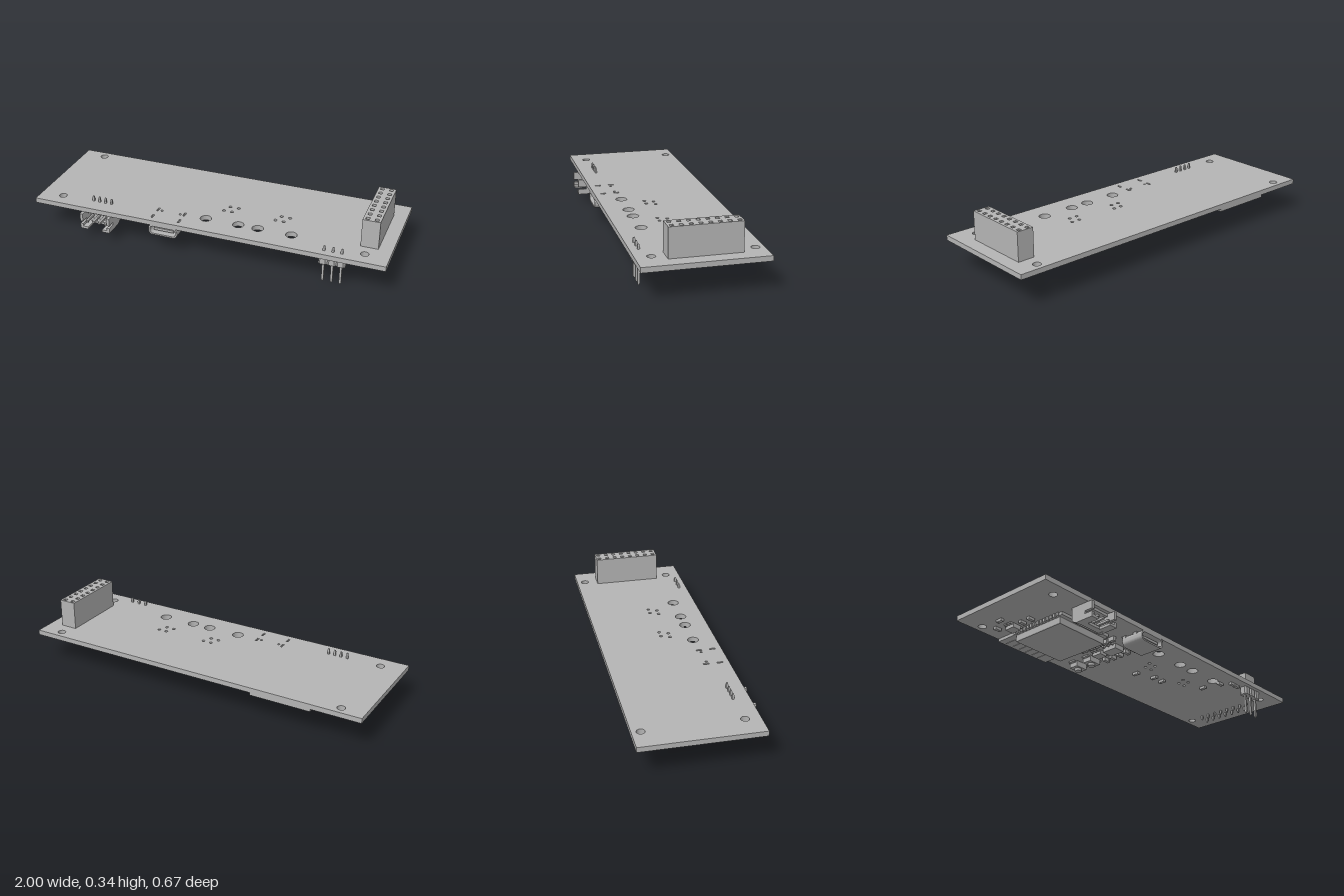
import * as THREE from 'three';

const grey = new THREE.MeshStandardMaterial({ color: 0xb4b4b4 });
grey.name = 'plain grey';

const BOARD_TOP = 0.188, BOARD_BOTTOM = 0.16;

function add(parent, name, geometry, x = 0, y = 0, z = 0) {
  const mesh = new THREE.Mesh(geometry, grey);
  mesh.name = name;
  mesh.position.set(x, y, z);
  parent.add(mesh);
  return mesh;
}

// Box given by its limits on each axis
function box(parent, name, x0, x1, y0, y1, z0, z1) {
  return add(parent, name, new THREE.BoxGeometry(x1 - x0, y1 - y0, z1 - z0),
    (x0 + x1) / 2, (y0 + y1) / 2, (z0 + z1) / 2);
}

// Closed outline of a rectangle in x and z
function rect(x, z, w, d, Type = THREE.Path) {
  const p = new Type();
  p.moveTo(x - w / 2, z - d / 2);
  p.lineTo(x + w / 2, z - d / 2);
  p.lineTo(x + w / 2, z + d / 2);
  p.lineTo(x - w / 2, z + d / 2);
  p.closePath();
  return p;
}

function circle(x, z, r) {
  return new THREE.Path().absarc(x, z, r, 0, Math.PI * 2, true);
}

// Horizontal slab cut from an x-z outline, hanging down from yTop
function slab(parent, name, shape, yTop, depth) {
  const g = new THREE.ExtrudeGeometry(shape, { depth, bevelEnabled: false, curveSegments: 16 });
  g.rotateX(Math.PI / 2);
  return add(parent, name, g, 0, yTop, 0);
}

// Square pin with tapered ends
function pin(parent, name, x, y0, y1, z, w) {
  const tip = w * 0.8, r = w / Math.SQRT2;
  const profile = [[0, y0], [r * 0.55, y0], [r, y0 + tip], [r, y1 - tip], [r * 0.55, y1], [0, y1]];
  const g = new THREE.LatheGeometry(profile.map(p => new THREE.Vector2(...p)), 4, Math.PI / 4).toNonIndexed();
  g.computeVertexNormals();
  return add(parent, name, g, x, 0, z);
}

function stadium(Type, w, h, r) {
  const p = new Type(), a = w / 2 - r, b = h / 2 - r;
  p.absarc(a, b, r, 0, Math.PI / 2);
  p.absarc(-a, b, r, Math.PI / 2, Math.PI);
  p.absarc(-a, -b, r, Math.PI, Math.PI * 1.5);
  p.absarc(a, -b, r, Math.PI * 1.5, Math.PI * 2);
  p.closePath();
  return p;
}

function circuitBoard(root) {
  const shape = rect(0, -0.0135, 2, 0.647, THREE.Shape);
  for (const x of [-0.87, 0.87]) for (const z of [-0.29, 0.228]) shape.holes.push(circle(x, z, 0.022));
  for (const x of [-0.022, 0.165, 0.275, 0.463]) shape.holes.push(circle(x, 0.182, 0.031));
  for (const x of [0.06, 0.357])
    for (const [dx, z] of [[0, 0.017], [0.048, 0.017], [-0.021, 0.065], [0.026, 0.065]])
      shape.holes.push(circle(x + dx, z, 0.009));
  for (const x of [-0.303, -0.146]) for (const z of [0.184, 0.26]) shape.holes.push(rect(x, z, 0.011, 0.032));
  for (const x of [-0.278, -0.17]) shape.holes.push(circle(x, 0.19, 0.007));
  slab(root, 'circuitBoard', shape, BOARD_TOP, BOARD_TOP - BOARD_BOTTOM);
}

// Two rows of eight sockets on the upper side
function socketHeader(root) {
  const g = new THREE.Group();
  g.name = 'socketHeader';
  root.add(g);
  const shape = rect(0.8775, -0.0275, 0.095, 0.375, THREE.Shape);
  for (let i = 0; i < 8; i++) for (const x of [0.853, 0.902]) {
    const z = -0.196 + i * 0.0478;
    shape.holes.push(rect(x, z, 0.02, 0.02));
    pin(g, 'socketPin', x, 0.135, 0.2, z, 0.011);
  }
  slab(g, 'socketHousing', shape, 0.347, 0.12);
  box(g, 'socketBase', 0.83, 0.925, BOARD_TOP, 0.227, -0.215, 0.16);
}

function pinHeader(root) {
  const g = new THREE.Group();
  g.name = 'pinHeader';
  root.add(g);
  for (const x of [0.665, 0.713, 0.76]) {
    pin(g, 'headerPin', x, 0.002, 0.215, 0.265, 0.012);
    slab(g, 'pinSpacer', new THREE.Shape([[-.024, -.014], [-.014, -.023], [.014, -.023], [.024, -.014],
      [.024, .014], [.014, .023], [-.014, .023], [-.024, .014]].map(p => new THREE.Vector2(x + p[0], 0.265 + p[1]))),
    BOARD_BOTTOM, 0.045);
  }
}

// Four-way cable plug opening toward the front
function cableConnector(root) {
  const g = new THREE.Group();
  g.name = 'cableConnector';
  root.add(g);
  const x0 = -0.71, x1 = -0.533;
  const side = [[0.337, 0.07], [0.228, 0.07], [0.2, 0.085], [0.2, 0.16], [0.337, 0.16],
    [0.337, 0.115], [0.288, 0.115], [0.288, 0.1], [0.337, 0.1]];
  for (const x of [x0, x1 - 0.016]) {
    const geo = new THREE.ExtrudeGeometry(new THREE.Shape(side.map(p => new THREE.Vector2(-p[0], p[1]))),
      { depth: 0.016, bevelEnabled: false });
    geo.rotateY(Math.PI / 2);
    add(g, 'connectorSide', geo, x, 0, 0);
  }
  box(g, 'connectorBack', x0 + 0.016, x1 - 0.016, 0.085, 0.16, 0.2, 0.24);
  box(g, 'connectorInnerWall', x0 + 0.016, x1 - 0.016, 0.145, 0.16, 0.24, 0.29);
  box(g, 'connectorOuterWall', x0 + 0.016, x1 - 0.016, 0.072, 0.086, 0.228, 0.265);
  for (const x of [x0 + 0.016, x1 - 0.046]) box(g, 'connectorLip', x, x + 0.03, 0.07, 0.084, 0.265, 0.337);
  for (let i = 0; i < 4; i++) {
    const x = -0.679 + i * 0.0367;
    pin(g, 'connectorLeg', x, 0.12, 0.22, 0.222, 0.011);
    box(g, 'connectorContact', x - 0.006, x + 0.006, 0.101, 0.113, 0.235, 0.318);
  }
}

// Metal shelled port with a centre tongue
function cablePort(root) {
  const g = new THREE.Group();
  g.name = 'cablePort';
  root.add(g);
  const x = -0.2245, y = 0.133;
  const shell = stadium(THREE.Shape, 0.168, 0.06, 0.025);
  shell.holes.push(stadium(THREE.Path, 0.15, 0.043, 0.019));
  add(g, 'portShell', new THREE.ExtrudeGeometry(shell, { depth: 0.135, bevelEnabled: false, curveSegments: 8 }), x, y, 0.175);
  add(g, 'portBack', new THREE.ExtrudeGeometry(stadium(THREE.Shape, 0.152, 0.045, 0.02),
    { depth: 0.04, bevelEnabled: false, curveSegments: 8 }), x, y, 0.178);
  box(g, 'portTongue', x - 0.058, x + 0.058, y - 0.007, y + 0.007, 0.21, 0.295);
  for (const tx of [-0.303, -0.146]) for (const z of [0.184, 0.26])
    box(g, 'portTab', tx - 0.004, tx + 0.004, 0.13, 0.18, z - 0.012, z + 0.012);
  for (let i = 0; i < 12; i++) {
    const cx = x - 0.058 + i * 0.0105;
    box(g, 'portContact', cx - 0.003, cx + 0.003, 0.152, BOARD_BOTTOM, 0.158, 0.18);
  }
}

// Shielded radio module under the board
function radioModule(root) {
  const g = new THREE.Group();
  g.name = 'radioModule';
  root.add(g);
  box(g, 'moduleBoard', -0.72, -0.378, 0.143, BOARD_BOTTOM, -0.333, 0.14);
  const can = new THREE.ExtrudeGeometry(rect(0, 0, 0.31, 0.31, THREE.Shape),
    { depth: 0.03, bevelThickness: 0.006, bevelSize: 0.006, bevelSegments: 2 });
  can.rotateX(Math.PI / 2);
  add(g, 'moduleShield', can, -0.549, 0.14, -0.045);
  // antenna trace
  for (let i = 0; i < 6; i++)
    box(g, 'antennaTrace', -0.68 + i * 0.046, -0.67 + i * 0.046, 0.141, 0.1435, -0.32, -0.25);
  // edge pads
  for (let i = 0; i < 14; i++) for (const x of [-0.722, -0.376]) {
    const z = -0.2 + i * 0.0239;
    box(g, 'modulePad', x - 0.006, x + 0.006, 0.141, BOARD_BOTTOM, z - 0.007, z + 0.007);
  }
}

function pushButton(root, x, z) {
  const g = new THREE.Group();
  g.name = 'pushButton';
  root.add(g);
  box(g, 'buttonBody', x - 0.038, x + 0.038, 0.128, BOARD_BOTTOM, z - 0.027, z + 0.027);
  for (const s of [-1, 1]) box(g, 'buttonLeg', x + s * 0.045 - 0.009, x + s * 0.045 + 0.009, 0.152, BOARD_BOTTOM, z - 0.02, z + 0.02);
  add(g, 'buttonCap', new THREE.CylinderGeometry(0.02, 0.018, 0.016, 24), x, 0.121, z);
}

// Packaged chip with a row of legs on both long sides
function chip(root, x, z, w, d, legs, h) {
  const g = new THREE.Group();
  g.name = 'chip';
  root.add(g);
  box(g, 'chipBody', x - w / 2, x + w / 2, BOARD_BOTTOM - h, BOARD_BOTTOM - 0.003, z - d / 2, z + d / 2);
  for (let i = 0; i < legs; i++) for (const s of [-1, 1]) {
    const lz = z + ((i + 0.5) / legs - 0.5) * d, lx = x + s * (w / 2 + 0.008);
    box(g, 'chipLeg', lx - 0.009, lx + 0.009, 0.15, BOARD_BOTTOM, lz - 0.004, lz + 0.004);
  }
}

// Small two-ended part
function smallPart(root, x, z, alongX, h = 0.015) {
  const g = new THREE.Group();
  g.name = 'smallPart';
  root.add(g);
  box(g, 'partBody', -0.012, 0.012, -h + 0.001, 0, -0.009, 0.009);
  for (const s of [-1, 1]) box(g, 'partEnd', s * 0.015 - 0.004, s * 0.015 + 0.004, -h, 0, -0.01, 0.01);
  g.position.set(x, BOARD_BOTTOM, z);
  if (!alongX) g.rotation.y = Math.PI / 2;
}

export function createModel() {
  const root = new THREE.Group();
  root.name = 'controllerBoard';
  circuitBoard(root);
  socketHeader(root);
  pinHeader(root);
  cableConnector(root);
  cablePort(root);
  radioModule(root);
  pushButton(root, -0.22, -0.133);
  pushButton(root, -0.22, -0.235);
  chip(root, -0.25, 0.055, 0.065, 0.09, 3, 0.03);
  chip(root, -0.25, -0.045, 0.05, 0.06, 3, 0.025);
  chip(root, -0.775, -0.16, 0.05, 0.06, 3, 0.027);
  // scattered small parts: x, z, along x
  for (const [x, z, a] of [[0.56, 0.25, 1], [0.51, 0.2, 1], [0.6, 0.25, 1], [0.49, 0.09, 0], [0.26, -0.03, 0],
    [0.19, -0.03, 0], [0.08, -0.07, 0], [-0.81, -0.24, 1], [-0.865, -0.16, 0], [-0.775, -0.09, 1], [-0.775, -0.03, 1]])
    smallPart(root, x, z, a);
  for (const z of [-0.07, -0.02, 0.03, 0.08, 0.13]) {
    smallPart(root, -0.17, z, 1, 0.02);
    smallPart(root, -0.34, z, 0, 0.025);
  }
  return root;
}
